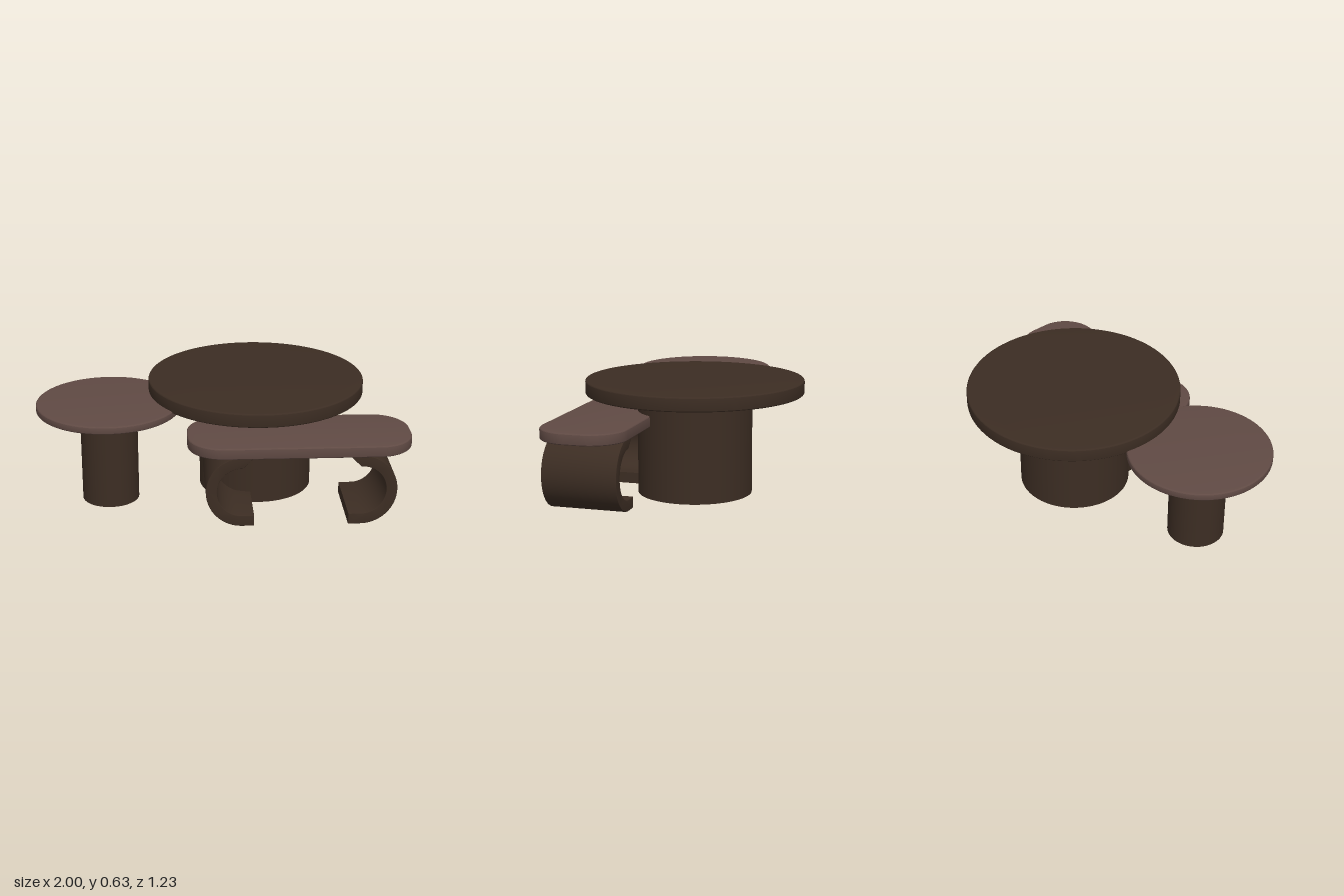
import * as THREE from 'three';
import { toCreasedNormals } from 'three/addons/utils/BufferGeometryUtils.js';

const darkWood = new THREE.MeshStandardMaterial({ color: 0x3c2d23 });
const mauveWood = new THREE.MeshStandardMaterial({ color: 0x604a44 });

function add(group, name, geometry, material, x, y, z) {
  const mesh = new THREE.Mesh(geometry, material);
  mesh.name = name;
  mesh.position.set(x, y, z);
  group.add(mesh);
  return mesh;
}

// Extrusion with a softened rim, from 0 to thickness
function extrude(shape, thickness, bevel, curveSegments) {
  const geo = new THREE.ExtrudeGeometry(shape, {
    depth: thickness - 2 * bevel, curveSegments,
    bevelSize: bevel, bevelThickness: bevel, bevelOffset: -bevel, bevelSegments: 4,
  });
  geo.translate(0, 0, bevel);
  return toCreasedNormals(geo, 0.3);
}

// Horizontal slab standing on y = 0
const slab = (shape, thickness, bevel, segments) =>
  extrude(shape, thickness, bevel, segments).rotateX(-Math.PI / 2);

function disc(radius) {
  return new THREE.Shape().absarc(0, 0, radius, 0, Math.PI * 2);
}

function roundedRect(w, d, r) {
  const x = w / 2 - r, y = d / 2 - r, q = Math.PI / 2;
  return new THREE.Shape()
    .absarc(x, y, r, 0, q)
    .absarc(-x, y, r, q, 2 * q)
    .absarc(-x, -y, r, 2 * q, 3 * q)
    .absarc(x, -y, r, 3 * q, 4 * q);
}

// C-shaped leg section, open towards -side, with a slanted upper end
function legShape(side) {
  const q = Math.PI / 2, cy = 0.197, tip = -0.065;
  const points = [[tip, 0.392]];
  const outer = [], inner = [];
  for (let i = 0; i <= 32; i++) {
    const a = q - (i / 32) * 2 * q;
    outer.push([0.19 * Math.cos(a), cy + 0.195 * Math.sin(a)]);
    inner.unshift([0.132 * Math.cos(a), cy + 0.135 * Math.sin(a)]);
  }
  points.push(...outer, [tip, 0.002], [tip, 0.062], ...inner, [-0.005, 0.332]);
  return new THREE.Shape(points.map(([x, y]) => new THREE.Vector2(x * side, y)));
}

// Round table: disc top on a drum base
function roundTable(name, material, topRadius, baseRadius, y0, y1) {
  const table = new THREE.Group();
  table.name = name;
  add(table, 'tableTop', slab(disc(topRadius), y1 - y0, 0.01, 48), material, 0, y0, 0);
  add(table, 'drumBase', new THREE.CylinderGeometry(baseRadius, baseRadius, y0 + 0.005, 64),
    darkWood, 0, (y0 + 0.005) / 2, 0);
  return table;
}

export function createModel() {
  const model = new THREE.Group();
  model.name = 'nestingTables';

  const large = roundTable('largeTable', darkWood, 0.593, 0.312, 0.55, 0.627);
  large.position.set(0.2, 0, -0.023);
  const small = roundTable('smallTable', mauveWood, 0.389, 0.155, 0.52, 0.562);
  small.position.set(-0.611, 0, 0.16);

  // Low table with two curled legs
  const low = new THREE.Group();
  low.name = 'lowTable';
  low.position.set(0.404, 0, 0.382);
  add(low, 'lowTop', slab(roundedRect(1.192, 0.466, 0.19), 0.062, 0.01, 20), mauveWood, 0, 0.393, 0);
  for (const side of [-1, 1]) {
    add(low, side > 0 ? 'leftLeg' : 'rightLeg', extrude(legShape(side), 0.408, 0.003, 12),
      darkWood, side * 0.315, 0, -0.203);
  }

  model.add(large, small, low);
  return model;
}
